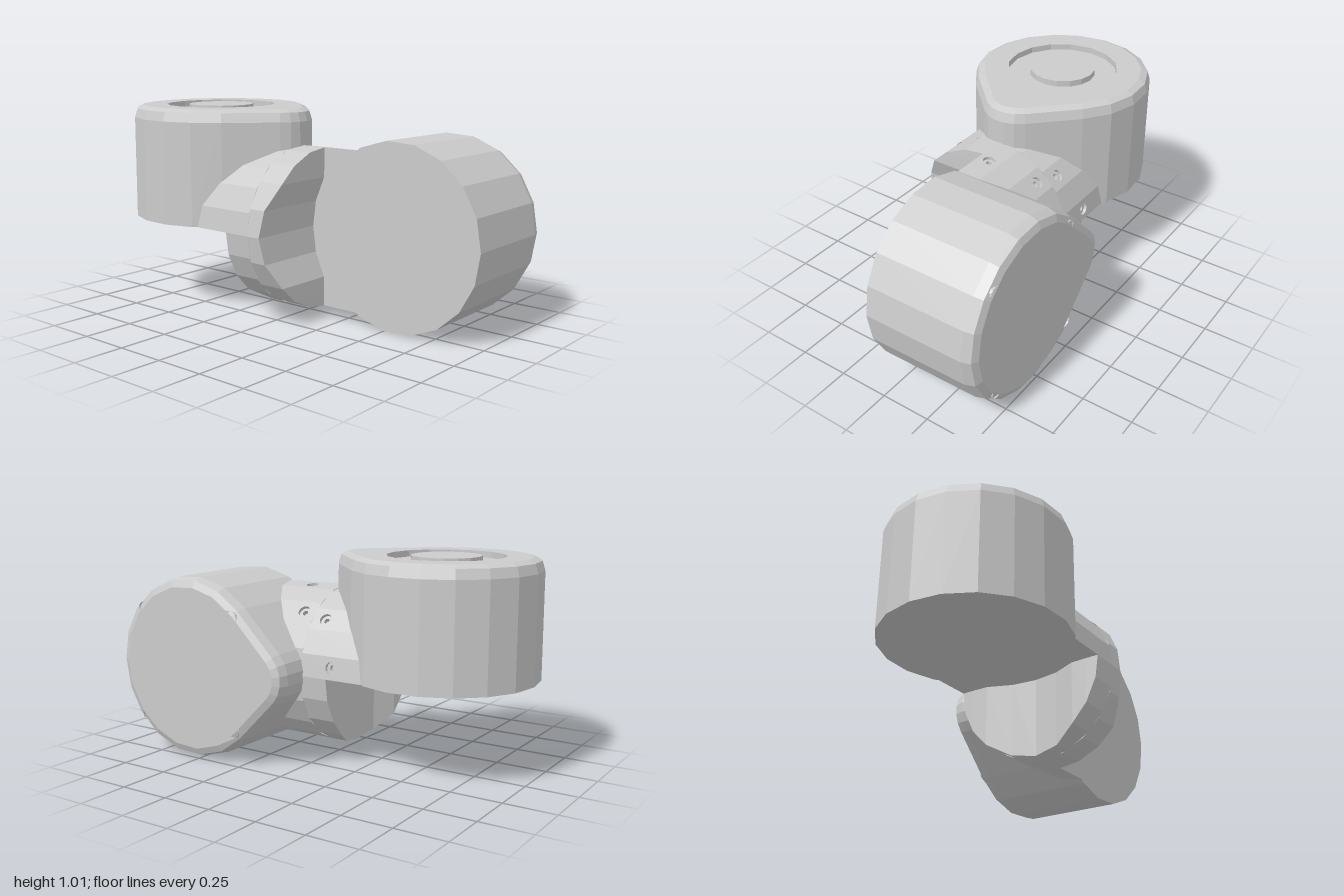
import * as THREE from 'three';

const R = 0.45, TIP = 0.17;          // housing radius, rounded tip radius
const CZ = 0.55, TZ = 0.155;         // distances of their centres from the joint
const DEPTH = 0.565;                 // housing depth
const NECK = 0.39, CLEAR = 0.48;     // connector radius, clearance cut radius
const ANGLES = [-90, -74, -56, -39, -19, 0, 19, 39, 56, 74, 90].map(THREE.MathUtils.degToRad);

const mat = new THREE.MeshStandardMaterial({ color: 0xcccccc, flatShading: true, side: THREE.DoubleSide });

function add(parent, geometry, name) {
  const mesh = new THREE.Mesh(geometry, mat);
  mesh.name = name;
  parent.add(mesh);
  return mesh;
}

// list of four-cornered faces -> geometry
function quads(list) {
  const pos = [];
  for (const [a, b, c, d] of list) pos.push(...a, ...b, ...c, ...a, ...c, ...d);
  const g = new THREE.BufferGeometry();
  g.setAttribute('position', new THREE.Float32BufferAttribute(pos, 3));
  g.computeVertexNormals();
  return g;
}

// teardrop outline, shrunk evenly by an inset
function outline(inset) {
  const pts = [];
  const arc = (cx, r, from, to, n) => {
    for (let i = 0; i <= n; i++) {
      const a = THREE.MathUtils.degToRad(from + (to - from) * i / n);
      pts.push(new THREE.Vector2(cx + r * Math.cos(a), r * Math.sin(a)));
    }
  };
  arc(-CZ, R - inset, 45, 315, 14);
  arc(-TZ, TIP - inset, -45, 45, 5);
  return pts;
}

function punch(shape, x, y, r) {
  const hole = new THREE.Path();
  hole.absarc(x, y, r, 0, Math.PI * 2, true);
  shape.holes.push(hole);
}

// round recess whose opening lies in the local xy plane
function recess(parent, profile, segments, x, y, z, name) {
  const g = new THREE.LatheGeometry(profile.map(p => new THREE.Vector2(...p)), segments);
  g.rotateX(Math.PI / 2);
  add(parent, g, name).position.set(x, y, z);
}

const SCREW = [[0, -0.035], [0.014, -0.035], [0.014, -0.015], [0.03, -0.015], [0.03, 0]];
const GROOVE = [[0, 0], [0.165, 0], [0.165, -0.03], [0.278, -0.03], [0.278, 0]];

// teardrop housing along local z, with a bevelled outer cap
function housing(withScrews) {
  const g = new THREE.Group();
  g.name = withScrews ? 'sideHousing' : 'topHousing';
  const rings = [[0, 0], [0.505, 0.003], [0.55, 0.017], [DEPTH, 0.05]]
    .map(([z, inset]) => outline(inset).map(p => [p.x, p.y, z]));
  const faces = [];
  for (let k = 0; k < rings.length - 1; k++) {
    const lo = rings[k], hi = rings[k + 1], n = lo.length;
    for (let i = 0; i < n; i++) {
      const j = (i + 1) % n;
      faces.push([lo[i], lo[j], hi[j], hi[i]]);
    }
  }
  add(g, quads(faces), 'housingWall');
  add(g, new THREE.ShapeGeometry(new THREE.Shape(outline(0))).rotateX(Math.PI).scale(1, -1, 1), 'housingBase');

  const cap = new THREE.Shape(outline(0.05));
  if (withScrews) {
    for (const sx of [-1, 1]) for (const sy of [-1, 1]) {
      const x = -CZ + sx * 0.28, y = sy * 0.275;
      punch(cap, x, y, 0.03);
      recess(g, SCREW, 12, x, y, DEPTH, 'capScrew');
    }
  } else {
    punch(cap, -CZ, 0, 0.278);
    recess(g, GROOVE, 16, -CZ, 0, DEPTH, 'capGroove');
  }
  const capMesh = add(g, new THREE.ShapeGeometry(cap, withScrews ? 6 : 8), 'housingCap');
  capMesh.position.z = DEPTH;
  g.rotation.y = Math.PI / 2;
  return g;
}

// half of the round connector: long on the housing side, cut back on the other
function connectorHalf() {
  const g = new THREE.Group();
  g.name = 'connectorHalf';
  const LONG = 0.36;
  const cut = y => Math.min(0.14, CZ - Math.sqrt(CLEAR * CLEAR - y * y));
  const faces = [];
  for (let i = 0; i < ANGLES.length - 1; i++) {
    const [x0, x1] = [ANGLES[i], ANGLES[i + 1]].map(a => NECK * Math.cos(a));
    const [y0, y1] = [ANGLES[i], ANGLES[i + 1]].map(a => NECK * Math.sin(a));
    const z0 = cut(y0), z1 = cut(y1);
    // short outer wall, scooped end face, flat step beside the housing
    faces.push([[-x1, y1, 0], [-x0, y0, 0], [-x0, y0, z0], [-x1, y1, z1]]);
    faces.push([[-x0, y0, z0], [0, y0, z0], [0, y1, z1], [-x1, y1, z1]]);
    faces.push([[0, y0, z0], [0, y0, LONG], [0, y1, LONG], [0, y1, z1]]);

    // long wall strip, with a screw hole in two of them
    const t = new THREE.Vector3(x1 - x0, y1 - y0, 0), len = t.length();
    t.normalize();
    const strip = new THREE.Group();
    strip.name = 'connectorStrip';
    const shape = new THREE.Shape([[0, 0], [len, 0], [len, LONG], [0, LONG]].map(p => new THREE.Vector2(...p)));
    const holeZ = { 7: 0.07, 9: 0.165 }[i];
    if (holeZ) {
      punch(shape, len / 2, holeZ, 0.03);
      recess(strip, SCREW, 12, len / 2, holeZ, 0, 'connectorScrew');
    }
    add(strip, new THREE.ShapeGeometry(shape, 6), 'connectorWall');
    const m = new THREE.Matrix4().makeBasis(t, new THREE.Vector3(0, 0, 1), new THREE.Vector3(t.y, -t.x, 0));
    m.setPosition(x0, y0, 0);
    strip.applyMatrix4(m);
    g.add(strip);
  }
  add(g, quads(faces), 'connectorCutback');
  return g;
}

export function createModel() {
  const model = new THREE.Group();
  model.name = 'rotaryJoint';
  // the second half is the first turned half a turn about the x = y diagonal
  const diagonal = new THREE.Vector3(1, 1, 0).normalize();
  for (const turned of [false, true]) {
    const half = new THREE.Group();
    half.name = turned ? 'upperJointHalf' : 'frontJointHalf';
    half.add(housing(!turned), connectorHalf());
    if (turned) half.quaternion.setFromAxisAngle(diagonal, Math.PI);
    half.position.set(-0.0575, 0.455, 0);
    model.add(half);
  }
  return model;
}
